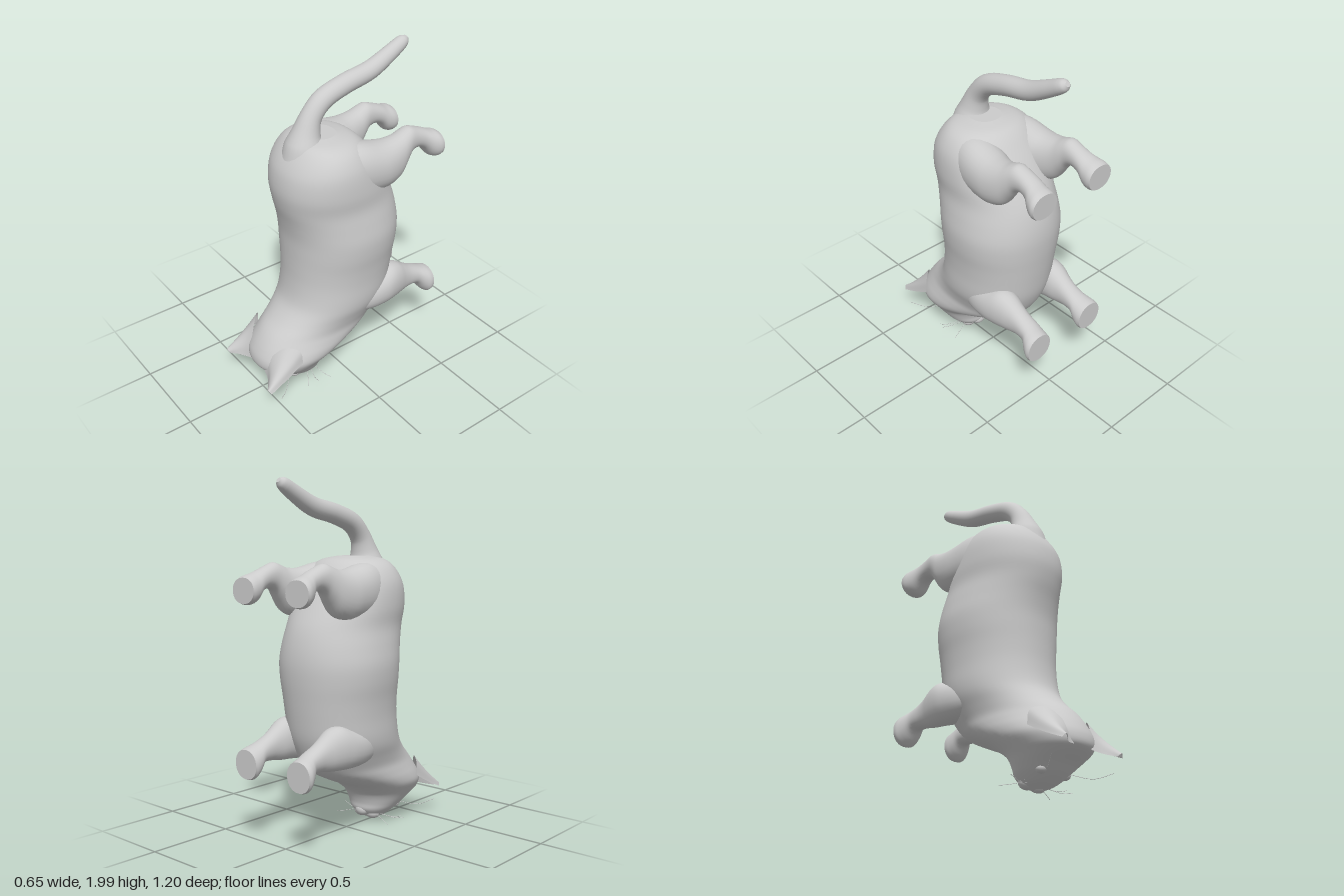
import * as THREE from 'three';

const V = (x, y, z) => new THREE.Vector3(x, y, z);
const grey = new THREE.MeshStandardMaterial({ color: 0xcccccc, roughness: 0.8 });
const greyThin = new THREE.MeshStandardMaterial({ color: 0xcccccc, roughness: 0.8, side: THREE.DoubleSide });

function add(parent, name, geometry, material = grey) {
  const mesh = new THREE.Mesh(geometry, material);
  mesh.name = name;
  parent.add(mesh);
  return mesh;
}

// Closed skin through rings of points (counter-clockwise about the travel direction), flat end caps.
function skin(rings) {
  const n = rings[0].length, pos = [], idx = [];
  rings.forEach(r => r.forEach(p => pos.push(p.x, p.y, p.z)));
  for (let i = 0; i < rings.length - 1; i++) {
    for (let j = 0; j < n; j++) {
      const a = i * n + j, b = i * n + (j + 1) % n;
      idx.push(a, b, b + n, a, b + n, a + n);
    }
  }
  [rings[0], rings[rings.length - 1]].forEach((r, end) => {
    const start = pos.length / 3, c = V(0, 0, 0);
    r.forEach(p => { pos.push(p.x, p.y, p.z); c.addScaledVector(p, 1 / n); });
    pos.push(c.x, c.y, c.z);
    for (let j = 0; j < n; j++) {
      const a = start + j, b = start + (j + 1) % n;
      end ? idx.push(a, b, start + n) : idx.push(b, a, start + n);
    }
  });
  const g = new THREE.BufferGeometry();
  g.setAttribute('position', new THREE.Float32BufferAttribute(pos, 3));
  g.setIndex(idx);
  g.computeVertexNormals();
  return g;
}

// Rows are [t, aMin, aMax, bMin, bMax]; place(t, a, b) turns a section point into space.
function loft(rows, place, sides, steps) {
  const ca = new THREE.CatmullRomCurve3(rows.map(r => V(r[0], r[1], r[2])), false, 'catmullrom', 0.5);
  const cb = new THREE.CatmullRomCurve3(rows.map(r => V(r[0], r[3], r[4])), false, 'catmullrom', 0.5);
  const bulge = v => Math.sign(v) * Math.pow(Math.abs(v), 0.93);
  const rings = [];
  for (let i = 0; i <= steps; i++) {
    const p = ca.getPoint(i / steps), q = cb.getPoint(i / steps), ring = [];
    for (let j = 0; j < sides; j++) {
      const th = j / sides * Math.PI * 2;
      ring.push(place(p.x,
        (p.y + p.z) / 2 + (p.z - p.y) / 2 * bulge(Math.cos(th)),
        (q.y + q.z) / 2 + (q.z - q.y) / 2 * bulge(Math.sin(th))));
    }
    rings.push(ring);
  }
  return skin(rings);
}

// Body and head: [y, zMin, zMax, half width]
const bodyRows = [
  [0.012, 0.20, 0.26, 0.025], [0.04, 0.15, 0.32, 0.085], [0.08, 0.115, 0.385, 0.13],
  [0.12, 0.11, 0.435, 0.16], [0.165, 0.095, 0.505, 0.19], [0.2, 0.07, 0.54, 0.215],
  [0.25, 0.0, 0.54, 0.245], [0.3, -0.11, 0.52, 0.252], [0.35, -0.21, 0.49, 0.248],
  [0.4, -0.27, 0.45, 0.245], [0.46, -0.31, 0.385, 0.26], [0.53, -0.34, 0.325, 0.283],
  [0.6, -0.36, 0.297, 0.293], [0.7, -0.375, 0.282, 0.296], [0.8, -0.387, 0.278, 0.305],
  [0.9, -0.397, 0.278, 0.32], [1.0, -0.4, 0.282, 0.325], [1.1, -0.388, 0.3, 0.312],
  [1.2, -0.36, 0.326, 0.297], [1.3, -0.31, 0.34, 0.302], [1.4, -0.25, 0.328, 0.296],
  [1.47, -0.2, 0.298, 0.277], [1.53, -0.15, 0.255, 0.238], [1.565, -0.1, 0.215, 0.18],
  [1.583, -0.02, 0.15, 0.09],
].map(([y, z0, z1, w]) => [y, z0, z1, -w, w]);

// Legs, from sole to hip: [z, xMin, xMax, yMin, yMax]
const hindRows = [
  [-0.6, 0.118, 0.283, 1.335, 1.475], [-0.575, 0.115, 0.285, 1.328, 1.488],
  [-0.54, 0.118, 0.272, 1.342, 1.498], [-0.5, 0.125, 0.25, 1.392, 1.515],
  [-0.45, 0.128, 0.244, 1.412, 1.535], [-0.4, 0.125, 0.25, 1.395, 1.552],
  [-0.36, 0.115, 0.262, 1.342, 1.543], [-0.31, 0.1, 0.278, 1.275, 1.525],
  [-0.24, 0.075, 0.291, 1.245, 1.517], [-0.17, 0.05, 0.295, 1.24, 1.525],
  [-0.05, 0.04, 0.285, 1.25, 1.55], [0.08, 0.05, 0.25, 1.3, 1.54],
];
const frontRows = [
  [-0.6, 0.118, 0.283, 0.375, 0.54], [-0.575, 0.115, 0.285, 0.37, 0.55],
  [-0.545, 0.118, 0.272, 0.398, 0.56], [-0.51, 0.125, 0.252, 0.45, 0.575],
  [-0.45, 0.127, 0.248, 0.455, 0.603], [-0.4, 0.122, 0.255, 0.447, 0.635],
  [-0.35, 0.11, 0.27, 0.44, 0.667], [-0.29, 0.1, 0.285, 0.435, 0.68],
  [-0.22, 0.08, 0.293, 0.43, 0.665], [-0.12, 0.06, 0.285, 0.43, 0.65],
  [0.0, 0.08, 0.25, 0.45, 0.62],
];

// Tail: [y, z, radius]
const tailRows = [
  [1.46, 0.17, 0.125], [1.54, 0.163, 0.108], [1.61, 0.15, 0.078], [1.69, 0.118, 0.06],
  [1.765, 0.045, 0.058], [1.815, -0.1, 0.056], [1.85, -0.27, 0.053], [1.915, -0.41, 0.045],
  [1.953, -0.48, 0.039], [1.968, -0.507, 0.031], [1.979, -0.524, 0.014],
];
function tailGeometry() {
  const path = new THREE.CatmullRomCurve3(tailRows.map(r => V(0, r[0], r[1])));
  const radius = new THREE.CatmullRomCurve3(tailRows.map((r, i) => V(i, r[2], 0)));
  const rings = [];
  for (let i = 0; i <= 50; i++) {
    const p = path.getPoint(i / 50), t = path.getTangent(i / 50), r = radius.getPoint(i / 50).y;
    const side = V(1, 0, 0), up = V(0, 0, 0).crossVectors(t, side);
    rings.push(Array.from({ length: 24 }, (_, j) => {
      const th = j / 24 * Math.PI * 2;
      return p.clone().addScaledVector(side, r * Math.cos(th)).addScaledVector(up, r * Math.sin(th));
    }));
  }
  return skin(rings);
}

// Cupped ear: a curved sheet rising from an arc on the skull to a blunt tip, open toward the face.
function earGeometry(s) {
  const base = new THREE.CatmullRomCurve3([
    V(0.07, 0.185, 0.525), V(0.1, 0.29, 0.5), V(0.165, 0.375, 0.43),
    V(0.225, 0.36, 0.375), V(0.238, 0.28, 0.365)]);
  const tip = new THREE.CatmullRomCurve3([
    V(0.2, 0.165, 0.59), V(0.212, 0.178, 0.6), V(0.228, 0.185, 0.602), V(0.242, 0.165, 0.59)]);
  const pos = [], idx = [], n = 20, m = 10;
  for (let i = 0; i <= m; i++) {
    for (let j = 0; j <= n; j++) {
      const t = i / m;
      const p = base.getPoint(j / n).lerp(tip.getPoint(j / n), t);
      p.z -= 0.012 * Math.sin(Math.PI * t);
      pos.push(s * p.x, p.y, p.z);
      if (i < m && j < n) {
        const a = i * (n + 1) + j, b = a + n + 1;
        s > 0 ? idx.push(a, b, a + 1, a + 1, b, b + 1) : idx.push(a, a + 1, b, a + 1, b + 1, b);
      }
    }
  }
  const g = new THREE.BufferGeometry();
  g.setAttribute('position', new THREE.Float32BufferAttribute(pos, 3));
  g.setIndex(idx);
  g.computeVertexNormals();
  return g;
}

function blob(parent, name, at, size) {
  const m = add(parent, name, new THREE.SphereGeometry(1, 20, 14));
  m.position.set(...at);
  m.scale.set(...size);
}

export function createModel() {
  const cat = new THREE.Group();
  cat.name = 'cat';
  add(cat, 'body', loft(bodyRows, (y, z, x) => V(x, y, z), 48, 96));
  add(cat, 'tail', tailGeometry());

  // Nose and chin
  blob(cat, 'nose', [0, 0.02, 0.235], [0.03, 0.02, 0.03]);
  blob(cat, 'chin', [0, 0.075, 0.14], [0.045, 0.035, 0.032]);

  for (const s of [1, -1]) {
    const side = s > 0 ? 'left' : 'right';
    // Mirrored rows keep the ring order, so both legs face outward.
    const mirror = rows => rows.map(([z, a, b, c, d]) => (s > 0 ? [z, a, b, c, d] : [z, -b, -a, c, d]));
    for (const [name, rows] of [['HindLeg', hindRows], ['FrontLeg', frontRows]])
      add(cat, side + name, loft(mirror(rows), (z, x, y) => V(x, y, z), 28, 44));
    add(cat, side + 'Ear', earGeometry(s), greyThin);
    blob(cat, side + 'Muzzle', [s * 0.042, 0.055, 0.19], [0.048, 0.038, 0.045]);
    blob(cat, side + 'Eye', [s * 0.092, 0.092, 0.33], [0.034, 0.026, 0.032]);

    // Whiskers on the muzzle and brow
    const whiskers = [
      [[0.07, 0.045, 0.22], [0.15, 0.02, 0.27], [0.19, 0.025, 0.3]],
      [[0.07, 0.05, 0.2], [0.16, 0.04, 0.23], [0.22, 0.055, 0.24]],
      [[0.07, 0.055, 0.18], [0.15, 0.03, 0.16], [0.2, 0.02, 0.14]],
      [[0.1, 0.09, 0.37], [0.18, 0.07, 0.45], [0.25, 0.1, 0.53]],
    ];
    for (const w of whiskers) {
      const path = new THREE.CatmullRomCurve3(w.map(([x, y, z]) => V(s * x, y, z)));
      add(cat, side + 'Whisker', new THREE.TubeGeometry(path, 8, 0.0015, 5));
    }
  }
  return cat;
}
